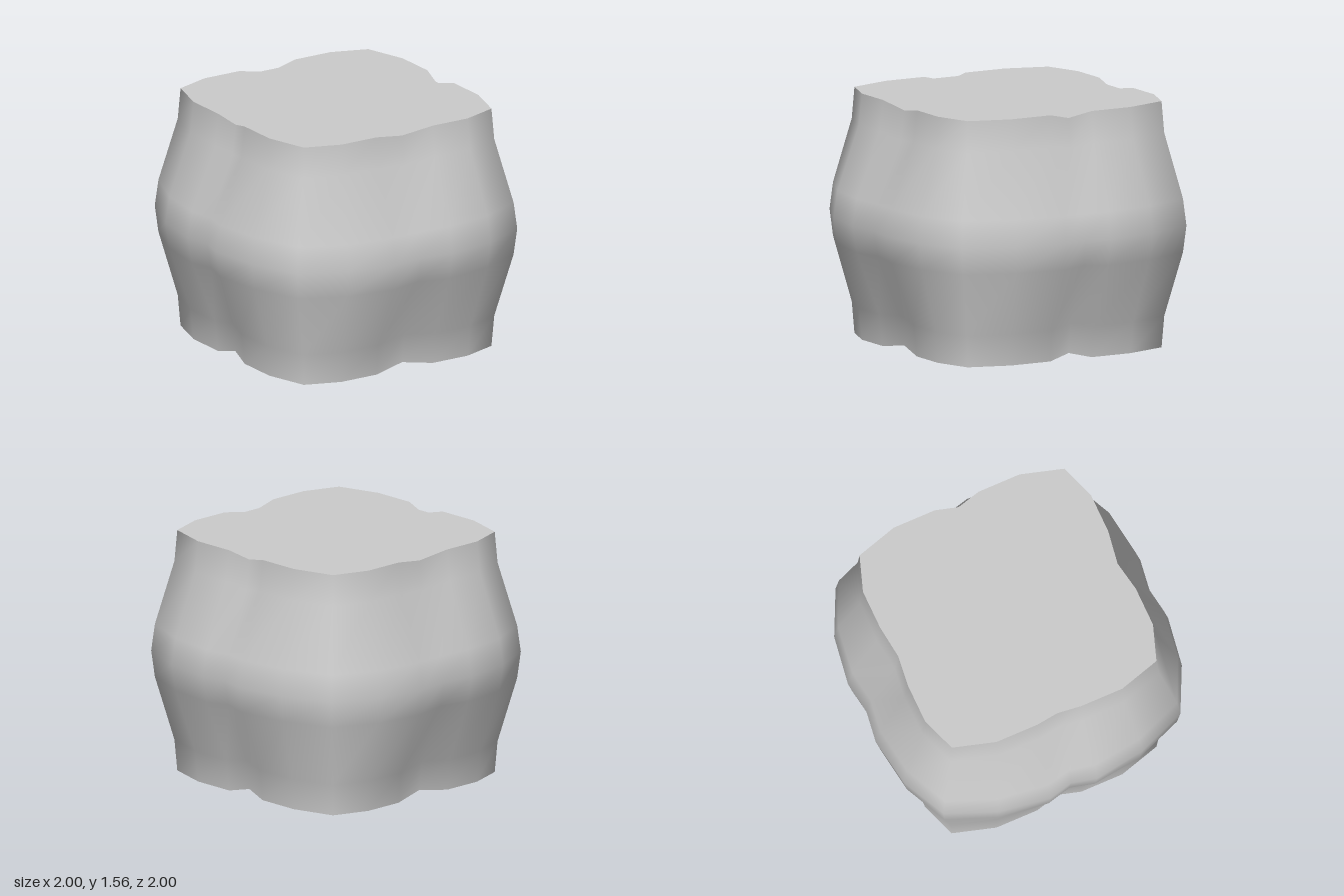
import * as THREE from 'three';

// One quadrant of the plan outline, from the front groove round to the side groove
const RIM = [[0, 0.75], [0.21, 0.78], [0.47, 0.78], [0.7, 0.7], [0.78, 0.43], [0.78, 0.15], [0.75, 0]];
const WAIST = [[0, 0.97], [0.21, 1], [0.53, 0.95], [0.82, 0.81], [0.95, 0.49], [1, 0.16], [0.96, 0]];
// Height and bulge (0 = rim outline, 1 = waist outline) of each ring
const RINGS = [[0, 0], [0.2, 0.11], [0.61, 0.86], [0.78, 1], [0.95, 0.86], [1.36, 0.11], [1.56, 0]];
const MID = 0.78;
const N = 24;

// Mirror a quadrant into a full loop, counter-clockwise from above
function loop(q) {
  const back = [...q].reverse();
  return [
    ...q.slice(0, 6),
    ...back.slice(0, 6).map(([x, z]) => [x, -z]),
    ...q.slice(0, 6).map(([x, z]) => [-x, -z]),
    ...back.slice(0, 6).map(([x, z]) => [-x, z]),
  ];
}

function ring(y, bulge) {
  const rim = loop(RIM), waist = loop(WAIST);
  return rim.map(([x, z], i) => {
    // The groove in the middle of each side is slightly shorter
    const h = i % 6 === 0 ? MID + (y - MID) * 0.955 : y;
    return [x + (waist[i][0] - x) * bulge, h, z + (waist[i][1] - z) * bulge];
  });
}

function geometry(points, index) {
  const g = new THREE.BufferGeometry();
  g.setAttribute('position', new THREE.Float32BufferAttribute(points.flat(), 3));
  g.setIndex(index);
  g.computeVertexNormals();
  return g;
}

export function createModel() {
  const group = new THREE.Group();
  group.name = 'cushionBlock';
  const material = new THREE.MeshStandardMaterial({ color: 0xcccccc, side: THREE.DoubleSide });

  // Bulging wall, open at the bottom
  const wallIndex = [];
  for (let r = 0; r < RINGS.length - 1; r++) {
    for (let i = 0; i < N; i++) {
      const a = r * N + i, b = r * N + (i + 1) % N;
      wallIndex.push(a, b, b + N, a, b + N, a + N);
    }
  }
  const wall = new THREE.Mesh(geometry(RINGS.flatMap(([y, t]) => ring(y, t)), wallIndex), material);
  wall.name = 'wall';
  group.add(wall);

  // Flat top with a small dip at each groove
  const lidIndex = [3, 9, 15, 3, 15, 21];
  const at = (i) => (i + N) % N;
  for (let k = 0; k < N; k += 6) {
    for (const i of [-3, -2, 1, 2]) lidIndex.push(k, at(k + i), at(k + i + 1));
    lidIndex.push(k, at(k + 3), at(k - 3));
  }
  const lidGeometry = geometry(ring(1.56, 0), lidIndex);
  const normal = lidGeometry.attributes.normal;
  for (let i = 0; i < N; i++) normal.setXYZ(i, 0, 1, 0);
  const lid = new THREE.Mesh(lidGeometry, material);
  lid.name = 'top';
  group.add(lid);

  return group;
}
